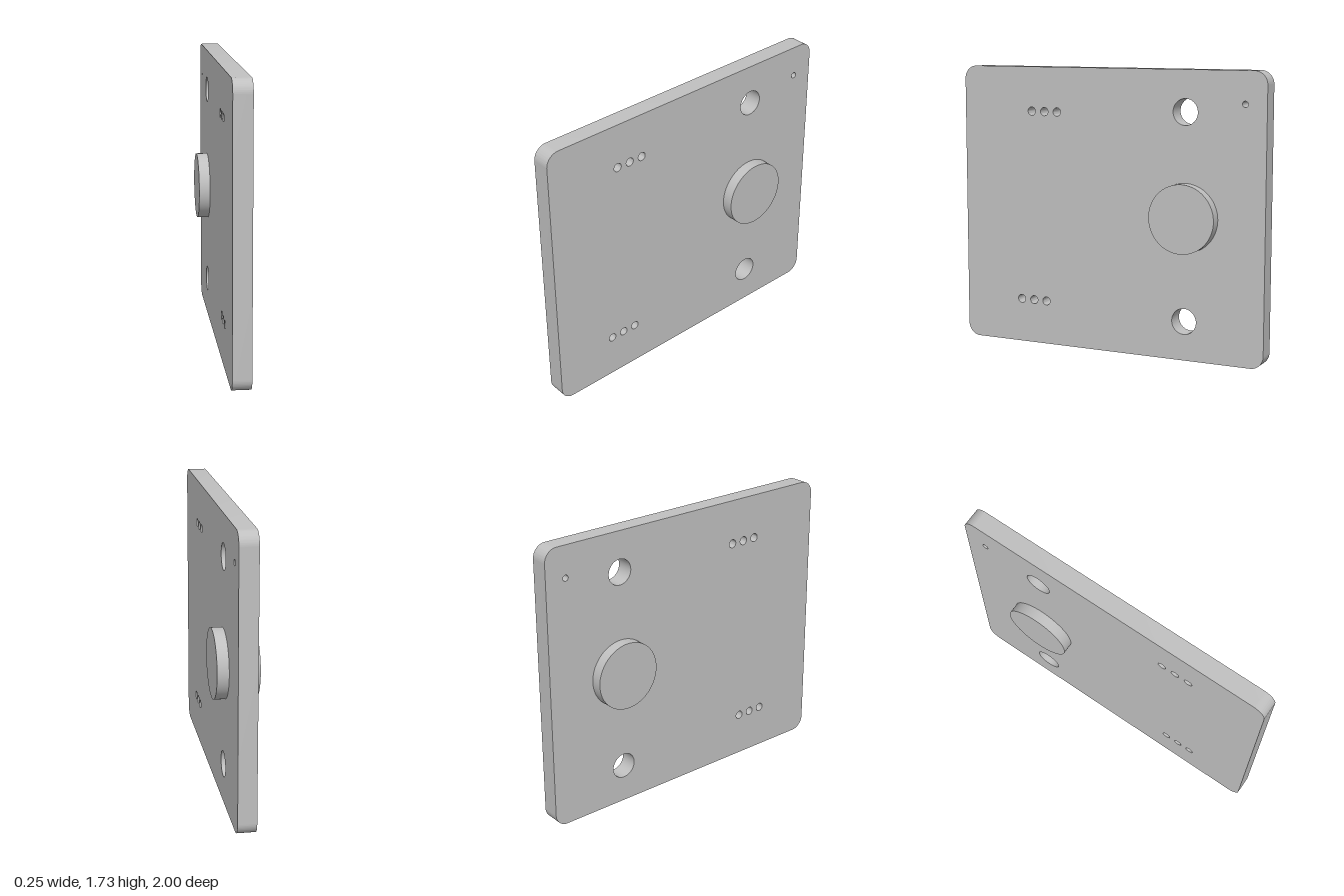
import * as THREE from 'three';
import { toCreasedNormals } from 'three/addons/utils/BufferGeometryUtils.js';

const THICKNESS = 0.11, HEIGHT = 1.726, RADIUS = 0.08;

// Holes as [z, y, radius]
const HOLES = [
  [-0.5, 1.48, 0.078], [-0.5, 0.237, 0.078], // large pair
  [-0.868, 1.535, 0.018], // corner pin hole
];
for (let i = 0; i < 3; i++) {
  HOLES.push([0.524 - i * 0.0875, 1.454, 0.026]); // upper row
  HOLES.push([0.606 - i * 0.0875, 0.272, 0.026]); // lower row
}

// Rounded outline drawn with shape x = -z
function plateShape() {
  const s = new THREE.Shape(), r = RADIUS, h = HEIGHT;
  s.absarc(1 - r, r, r, -Math.PI / 2, 0);
  s.absarc(1 - r, h - r, r, 0, Math.PI / 2);
  s.absarc(-1 + r, h - r, r, Math.PI / 2, Math.PI);
  s.absarc(-1 + r, r, r, Math.PI, Math.PI * 1.5);
  s.closePath();
  for (const [z, y, radius] of HOLES) {
    const hole = new THREE.Path();
    hole.absarc(-z, y, radius, 0, Math.PI * 2, true);
    s.holes.push(hole);
  }
  return s;
}

export function createModel() {
  const model = new THREE.Group();
  model.name = 'drilledPlate';
  const grey = new THREE.MeshStandardMaterial({ color: 0xc0c0c0 });
  grey.name = 'light grey';

  // Drilled plate, turned to face sideways
  let geo = new THREE.ExtrudeGeometry(plateShape(), { depth: THICKNESS, bevelEnabled: false, curveSegments: 20 });
  geo.translate(0, 0, -THICKNESS / 2);
  geo.rotateY(Math.PI / 2);
  geo = toCreasedNormals(geo, 0.6);
  const plate = new THREE.Mesh(geo, grey);
  plate.name = 'plate';
  model.add(plate);

  // Round boss standing out on both faces
  const boss = new THREE.Mesh(new THREE.CylinderGeometry(0.206, 0.206, 0.246, 64), grey);
  boss.name = 'boss';
  boss.rotation.z = Math.PI / 2;
  boss.position.set(0, 0.858, -0.503);
  model.add(boss);

  return model;
}
